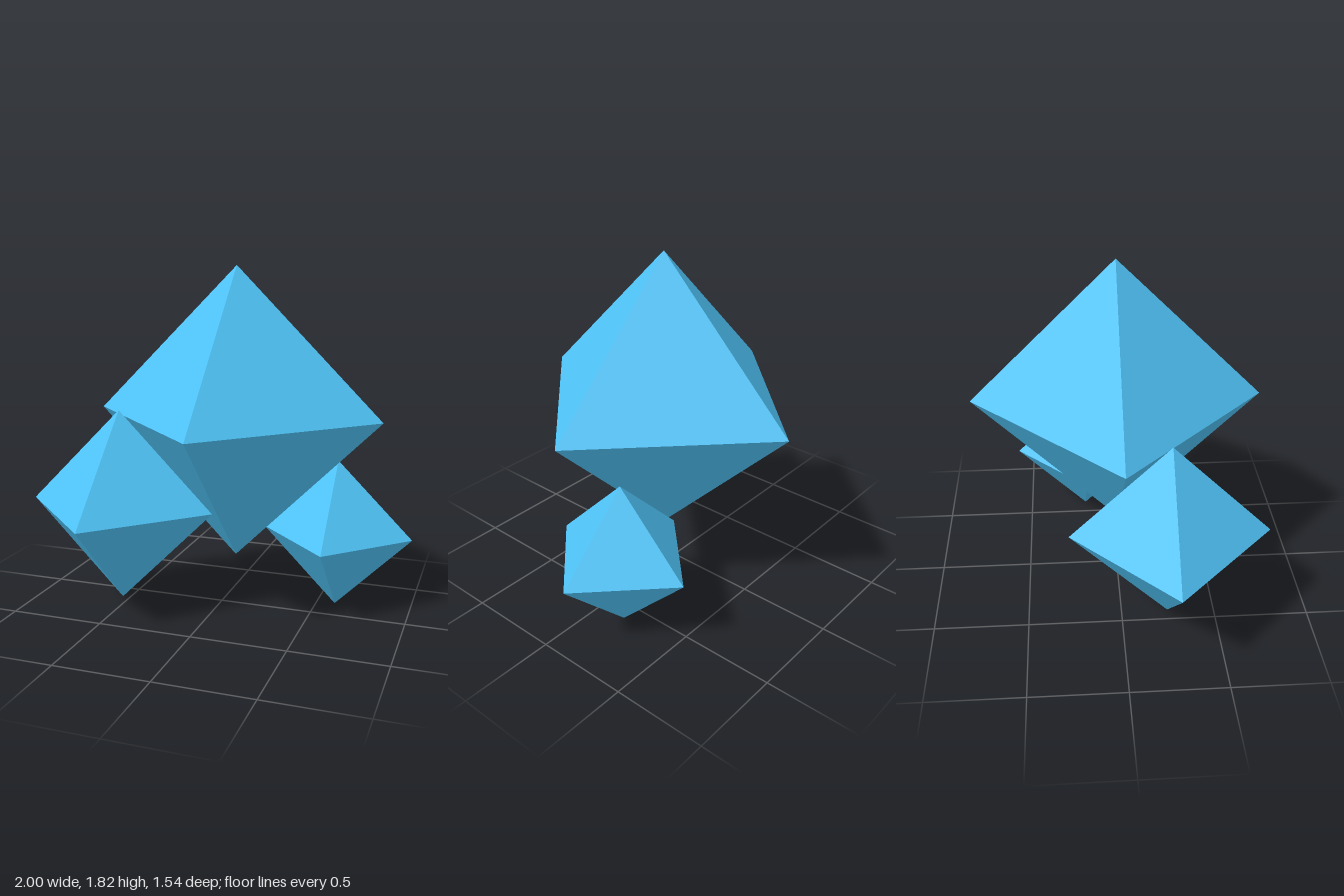
import * as THREE from 'three';

export function createModel() {
  const group = new THREE.Group();
  group.name = 'crystalCluster';
  const material = new THREE.MeshStandardMaterial({ color: 0x4fc3f7, flatShading: true });

  // One octahedral crystal, its points along the axes
  const addCrystal = (name, radius, x, y, z) => {
    const crystal = new THREE.Mesh(new THREE.OctahedronGeometry(radius), material);
    crystal.name = name;
    crystal.position.set(x, y, z);
    group.add(crystal);
  };

  addCrystal('largeCrystal', 0.771, 0.08, 1.05, 0);
  addCrystal('mediumCrystal', 0.514, -0.486, 0.567, 0.241);
  addCrystal('smallCrystal', 0.402, 0.598, 0.402, -0.161);

  return group;
}
